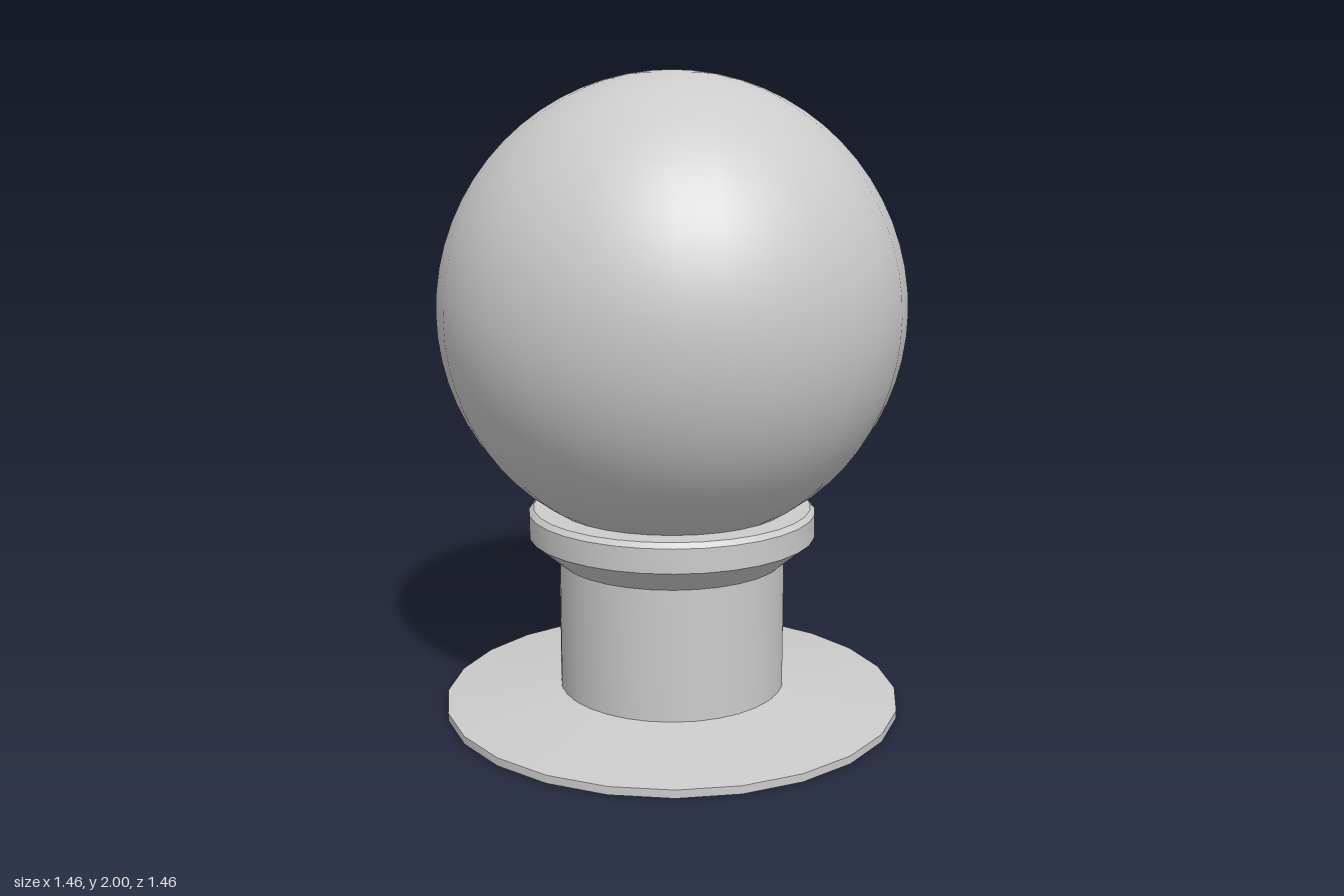
import * as THREE from 'three';
import { toCreasedNormals } from 'three/addons/utils/BufferGeometryUtils.js';

const material = new THREE.MeshStandardMaterial({ color: 0xcccccc, side: THREE.DoubleSide });

// Turned part from [radius, height] pairs, with crisp edges between its bands
function turned(name, profile, segments) {
  const points = profile.map(([r, y]) => new THREE.Vector2(r, y));
  const geometry = toCreasedNormals(new THREE.LatheGeometry(points, segments), 0.5);
  const mesh = new THREE.Mesh(geometry, material);
  mesh.name = name;
  return mesh;
}

export function createModel() {
  const group = new THREE.Group();
  group.name = 'ballFinial';

  // Flared base plate, open in the middle below the hollow neck
  group.add(turned('basePlate', [[0.36, 0], [0.728, 0], [0.728, 0.025], [0.36, 0.065]], 24));

  // Hollow neck
  group.add(turned('neck', [[0.36, 0], [0.36, 0.48]], 32));

  // Collar: flared underside, straight band, small chamfer, flat top under the ball
  group.add(turned('collar', [
    [0.36, 0.48], [0.455, 0.56], [0.455, 0.635], [0.44, 0.65], [0.36, 0.65],
  ], 32));

  // Ball
  const ball = new THREE.Mesh(new THREE.SphereGeometry(0.725, 32, 32), material);
  ball.name = 'ball';
  ball.position.y = 1.275;
  group.add(ball);

  return group;
}
